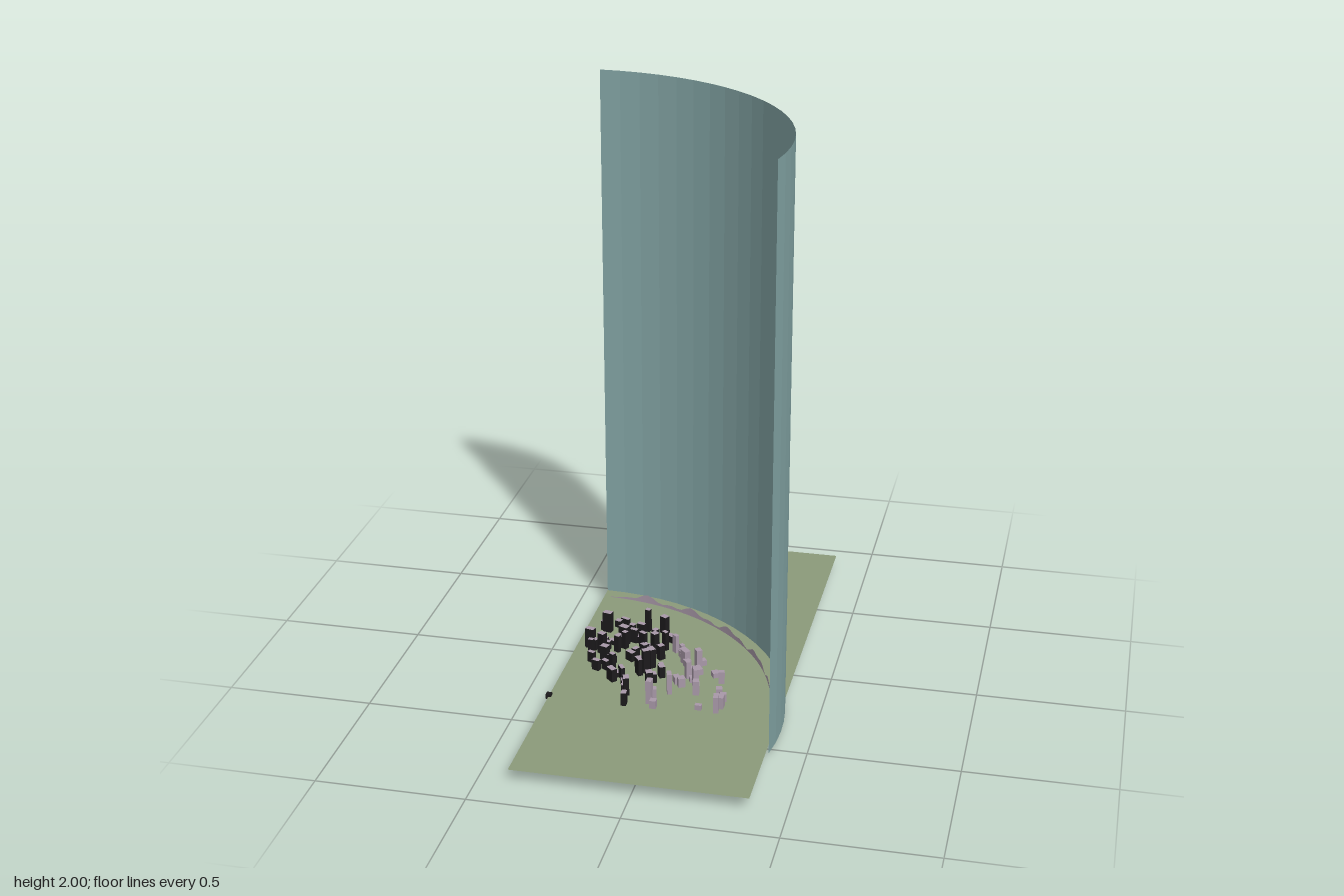
import * as THREE from 'three';

const rad = THREE.MathUtils.degToRad;
const CENTRE = { x: -0.4, z: 0.39 }; // viewpoint on which the curved wall is centred
const GROUND_Y = 0.043;

// Building positions in hundredths: x, z
const LEFT_DISTRICT = [
  -27, -16, -29, -14, -33, -11, -32, -10, -18, -13, -20, -11, -12, -13, -8, -7, -7, -8, -22, -6,
  -21, -4, -31, -1, -28, -1, -24, -2, -25, 0, -35, 3, -34, 6, -33, 4, -29, 3, -30, 6,
  -25, 4, -23, 1, -19, -4, -17, -1, -16, 1, -14, 0, -12, 2, -18, 6, -19, 9, -15, 10,
  -13, -3, -9, -1, -9, 6, -11, 12, -7, 14, -6, 18, -9, 24, -8, 22, -12, 16, -14, 18,
  -25, 12, -28, 10, -32, 13, -26, 17, -29, 18, -23, 19, -21, 21, -19, 22, -22, 24, -17, 27,
  -16, 30, -17, 25, -15, 32, -14, 39,
];
const RIGHT_DISTRICT = [
  -5, 0, -3, -1, -2, 1, -1, 4, 0, 7, 1, 9, -2, 3, 6, 7, 5, 9, 6, 13,
  4, 15, 3, 17, 5, 19, 7, 23, 8, 27, 8, 25, 12, 14, 15, 18, 16, 27, 18, 30,
  18, 34, 17, 37, 11, 37, -5, 34, -4, 39, -6, 36, -1, 28, 2, 23, 0, 21,
];

function seeded(seed) {
  return () => {
    seed = (seed * 16807) % 2147483647;
    return seed / 2147483647;
  };
}

// Open wall following an arc around the viewpoint, angles measured from +x towards +z
function arcWall(radius, from, to, y0, y1, segments) {
  const g = new THREE.CylinderGeometry(radius, radius, y1 - y0, segments, 1, true, rad(90 - to), rad(to - from));
  return g.translate(CENTRE.x, (y0 + y1) / 2, CENTRE.z);
}

export function createModel() {
  const model = new THREE.Group();
  const paint = (color, extra = {}) => new THREE.MeshStandardMaterial({ color, ...extra });
  const mauve = paint(0xa898a8);
  const dark = paint(0x1c1a1c);
  const add = (name, geometry, material, parent = model) => {
    const mesh = new THREE.Mesh(geometry, material);
    mesh.name = name;
    parent.add(mesh);
    return mesh;
  };

  // Flat ground sheet
  const ground = new THREE.PlaneGeometry(0.78, 1.74).rotateX(-Math.PI / 2).translate(-0.01, GROUND_Y, 0);
  add('ground', ground, paint(0x8b9a7a, { side: THREE.DoubleSide }));

  // Tall curved sky wall
  add('skyBackdrop', arcWall(0.795, -90, 11, 0.01, 2, 20),
    paint(0x84a6a6, { side: THREE.DoubleSide, flatShading: true }));

  // Low strip of hills just inside the wall
  const hills = arcWall(0.745, -88, -12, 0.042, 0.06, 48);
  const p = hills.attributes.position;
  for (let i = 0; i <= 48; i++) {
    const t = i / 48;
    const peak = 0.5 + 0.3 * Math.sin(t * 31) + 0.2 * Math.sin(t * 67 + 1);
    const fade = Math.min(1, 8 * t, 8 * (1 - t));
    p.setY(i, 0.045 + 0.03 * peak * fade); // the first row is the top edge
  }
  hills.computeVertexNormals();
  add('distantHills', hills, paint(0xa898a8, { side: THREE.DoubleSide }));

  // Small marker at the viewpoint
  add('viewpointMarker',
    new THREE.BoxGeometry(0.018, 0.018, 0.018).translate(CENTRE.x, GROUND_Y, CENTRE.z), dark);

  // Buildings, each turned towards the viewpoint and sunk through the ground
  const rnd = seeded(417);
  const district = (name, spots, walls) => {
    const group = new THREE.Group();
    group.name = name;
    for (let i = 0; i < spots.length; i += 2) {
      const x = spots[i] / 100, z = spots[i + 1] / 100;
      const building = new THREE.Group();
      building.name = 'building';
      building.position.set(x, 0, z);
      building.rotation.y = Math.atan2(x - CENTRE.x, z - CENTRE.z) + (rnd() - 0.5) * 0.3;
      const w = 0.016 + rnd() * 0.018, d = 0.014 + rnd() * 0.01;
      const foot = i % 26 === 0 ? 0 : 0.012 + rnd() * 0.02;
      const top = 0.06 + 0.07 * rnd() ** 1.6;
      const block = (y0, y1) => new THREE.BoxGeometry(w, y1 - y0, d).translate(0, (y0 + y1) / 2, 0);
      add('foundation', block(foot, GROUND_Y), mauve, building);
      // Material order: sides, roof, underside, front, back
      add('tower', block(GROUND_Y, top), [walls, walls, mauve, mauve, walls, walls], building);
      group.add(building);
    }
    model.add(group);
  };
  district('leftDistrict', LEFT_DISTRICT, dark);
  district('rightDistrict', RIGHT_DISTRICT, mauve);

  return model;
}
